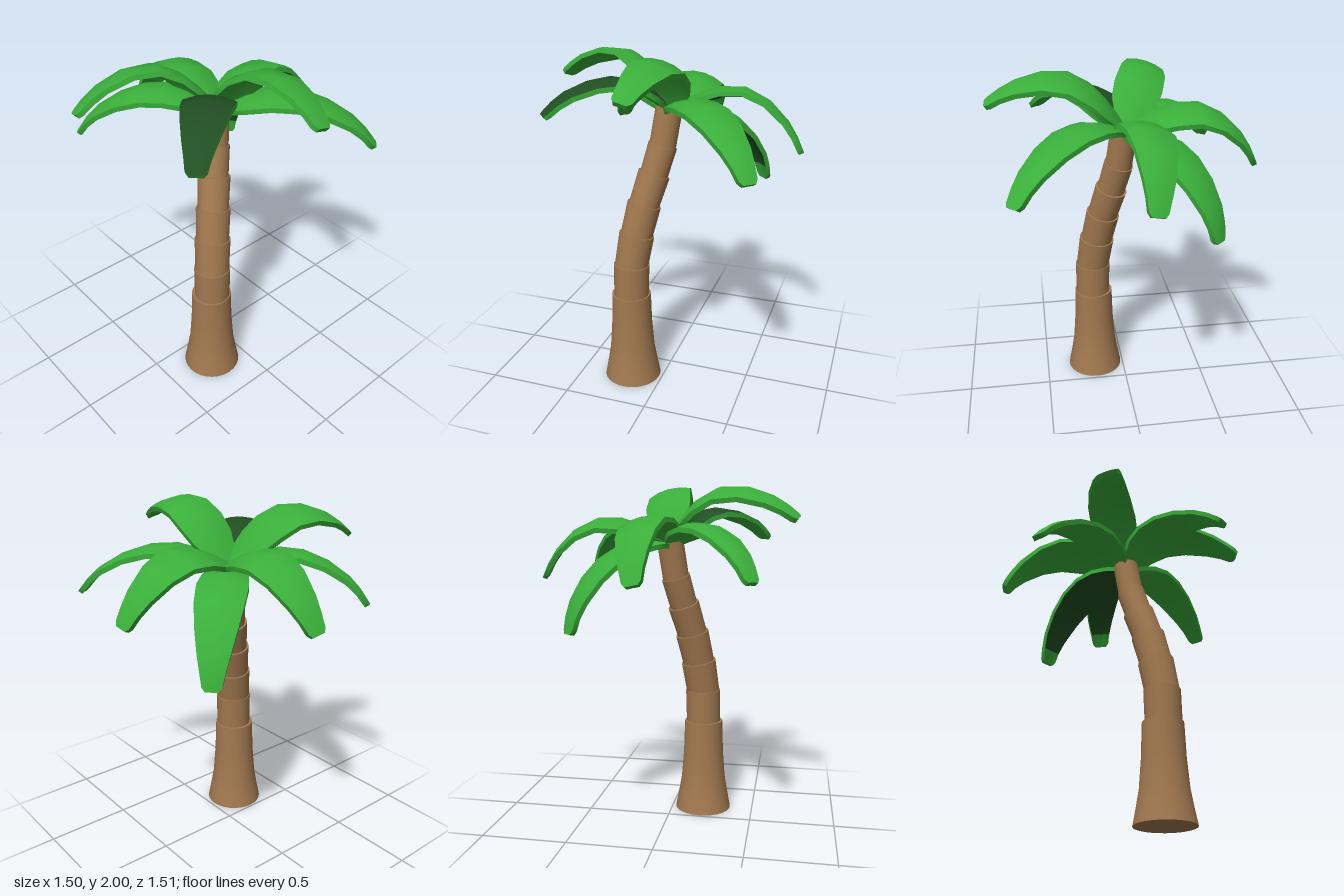
import * as THREE from 'three';
import { toCreasedNormals } from 'three/addons/utils/BufferGeometryUtils.js';

const V = (x, y, z) => new THREE.Vector3(x, y, z);

// Arched leaf along +x: [distance, height] spine points, lens-like outline, even thickness.
// Material slots: 0 top, 1 underside, 2 rim, ends and the underside of the tip
function leafGeometry(spine) {
  const curve = new THREE.CatmullRomCurve3(spine.map(([r, h]) => V(r, h, 0)));
  const outline = [[0, 0.05], [0.1, 0.18], [0.2, 0.255], [0.33, 0.28], [0.48, 0.265],
    [0.64, 0.225], [0.8, 0.17], [0.9, 0.13], [0.975, 0.105], [1, 0.07]];
  const across = [-1, -0.5, 0, 0.5, 1];
  const thickness = 0.028;
  const positions = [], faces = [[], [], []];
  for (const [t, width] of outline) {
    const p = curve.getPointAt(t), tan = curve.getTangentAt(t);
    const up = V(-tan.y, tan.x, 0);
    const add = (s, lift) => {
      const q = p.clone().addScaledVector(up, lift - 0.4 * width * width * s * s);
      positions.push(q.x, q.y, s * width / 2);
    };
    across.forEach(s => add(s, thickness / 2));
    [...across].reverse().forEach(s => add(s, -thickness / 2));
  }
  const half = across.length, n = half * 2, last = (outline.length - 1) * n;
  for (let i = 0; i < outline.length - 1; i++) {
    for (let j = 0; j < n; j++) {
      const a = i * n + j, b = i * n + (j + 1) % n;
      const isRim = j % half === half - 1;
      const isTop = j < half;
      const isTip = outline[i][0] >= 0.9;
      const slot = isRim || (!isTop && isTip) ? 2 : isTop ? 0 : 1;
      faces[slot].push(a, b, b + n, a, b + n, a + n);
    }
  }
  // End caps, closed in strips between top and bottom edges
  for (let j = 0; j < half - 1; j++) {
    const k = n - 1 - j;
    faces[2].push(j, k, k - 1, j, k - 1, j + 1);
    faces[2].push(last + j, last + k - 1, last + k, last + j, last + j + 1, last + k - 1);
  }
  const g = new THREE.BufferGeometry();
  g.setAttribute('position', new THREE.Float32BufferAttribute(positions, 3));
  g.setIndex(faces.flat());
  const creased = toCreasedNormals(g, 0.7);
  creased.clearGroups();
  let start = 0;
  faces.forEach((list, slot) => {
    creased.addGroup(start, list.length, slot);
    start += list.length;
  });
  return creased;
}

export function createModel() {
  const palm = new THREE.Group();
  palm.name = 'palmTree';
  const bark = new THREE.MeshStandardMaterial({ color: 0xa1784f });
  bark.name = 'barkBrown';
  const green = new THREE.MeshStandardMaterial({ color: 0x3aae3a });
  green.name = 'leafGreen';
  const dark = new THREE.MeshStandardMaterial({ color: 0x214e22 });
  dark.name = 'darkLeafGreen';

  // Flared trunk base
  const profile = [[0, 0], [0.172, 0], [0.153, 0.1], [0.136, 0.2], [0.123, 0.37], [0.117, 0.565], [0, 0.565]];
  const baseGeo = new THREE.LatheGeometry(profile.map(([x, y]) => new THREE.Vector2(x, y)), 28);
  const base = new THREE.Mesh(toCreasedNormals(baseGeo, 0.6), bark);
  base.name = 'trunkBase';
  base.position.set(-0.19, 0, 0.183);
  palm.add(base);

  // Leaning trunk segments, each wider at its top: [height, lean offset], [bottom radius, top radius]
  const joints = [[0.55, -0.188], [0.76, -0.184], [0.945, -0.158], [1.125, -0.122],
    [1.3, -0.076], [1.465, -0.036], [1.67, -0.008]].map(([y, x]) => V(x, y, -x));
  const radii = [[0.104, 0.106], [0.099, 0.104], [0.094, 0.099], [0.088, 0.093], [0.081, 0.084], [0.077, 0.077]];
  radii.forEach(([bottom, top], i) => {
    const axis = joints[i + 1].clone().sub(joints[i]);
    const dir = axis.clone().normalize();
    const sink = 0.025;
    const seg = new THREE.Mesh(new THREE.CylinderGeometry(top, bottom, axis.length() + sink, 28), bark);
    seg.name = `trunkSegment${i + 1}`;
    seg.position.copy(joints[i]).addScaledVector(dir, (axis.length() - sink) / 2);
    seg.quaternion.setFromUnitVectors(V(0, 1, 0), dir);
    palm.add(seg);
  });

  // Crown tilted along the lean of the trunk
  const crown = new THREE.Group();
  crown.name = 'crown';
  crown.position.set(0, 1.68, 0);
  const tilt = THREE.MathUtils.degToRad(19.5);
  crown.quaternion.setFromUnitVectors(V(0, 1, 0),
    V(Math.sin(tilt) * Math.SQRT1_2, Math.cos(tilt), -Math.sin(tilt) * Math.SQRT1_2));
  palm.add(crown);

  const upper = leafGeometry([[0, -0.02], [0.12, 0.095], [0.26, 0.188], [0.42, 0.215], [0.6, 0.14], [0.7, 0.06], [0.77, -0.02]]);
  const lower = leafGeometry([[0, -0.04], [0.14, 0.045], [0.3, 0.08], [0.45, 0.05], [0.6, -0.03], [0.7, -0.12], [0.77, -0.22]]);
  const plain = [green, green, green];
  const darkTop = [dark, green, green];
  const darkUnder = [green, dark, green];
  // Leaves: [name, geometry, materials, heading from +x towards +z, roll, pitch (degrees), length and width scale]
  const leaves = [
    ['upperLeafFront', upper, plain, 91, 0, 0, 1, 1],
    ['upperLeafBack', upper, plain, -84.5, 0, 0, 1, 1],
    ['upperLeafRight', upper, plain, -165.5, 0, 0, 1, 1],
    ['upperLeafLeft', upper, darkUnder, -5.5, 0, 0, 1, 1],
    ['lowerLeafFrontLeft', lower, plain, 47.5, 20, 1, 1.12, 0.95],
    ['lowerLeafBackRight', lower, plain, -133.5, -22, 1.5, 1, 0.87],
    ['lowerLeafFrontRight', lower, darkTop, 138, 0, -1, 0.9, 1],
    ['lowerLeafBackLeft', lower, darkUnder, -43, 0, -3, 1.02, 1],
  ];
  for (const [name, geo, materials, heading, roll, pitch, length, width] of leaves) {
    const leaf = new THREE.Mesh(geo, materials);
    leaf.name = name;
    const [x, y, z] = [roll, -heading, pitch].map(THREE.MathUtils.degToRad);
    leaf.rotation.set(x, y, z, 'YZX');
    leaf.scale.set(length, 1, width);
    crown.add(leaf);
  }
  return palm;
}
